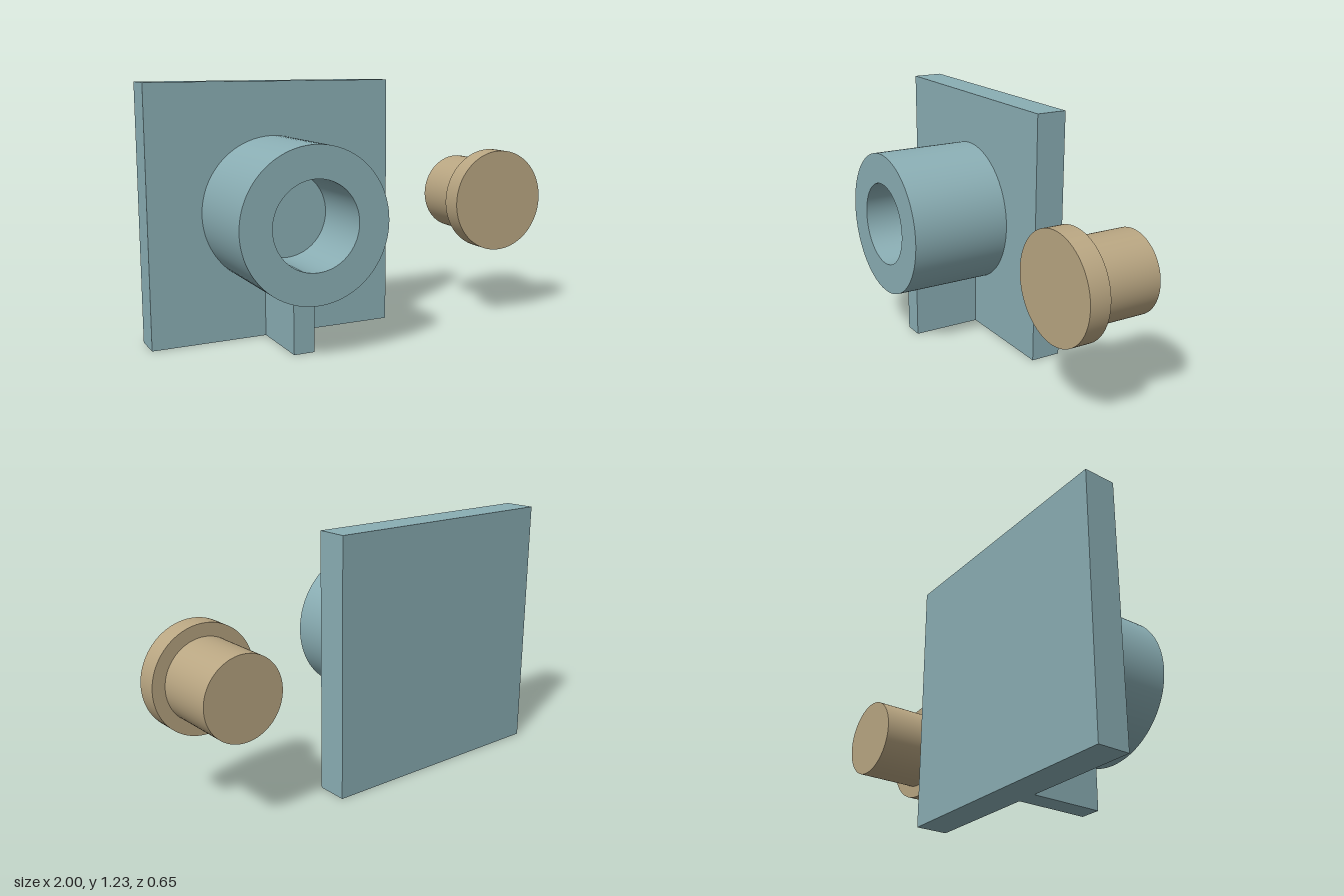
import * as THREE from 'three';
import { toCreasedNormals } from 'three/addons/utils/BufferGeometryUtils.js';

export function createModel() {
  const teal = new THREE.MeshStandardMaterial({ color: 0x8aaeb4 });
  teal.name = 'teal';
  const tan = new THREE.MeshStandardMaterial({ color: 0xb9a682 });
  tan.name = 'tan';

  const model = new THREE.Group();
  model.name = 'bracketAndPlug';
  const axisY = 0.617;

  const add = (parent, name, geometry, material) => {
    const mesh = new THREE.Mesh(geometry, material);
    mesh.name = name;
    parent.add(mesh);
    return mesh;
  };

  // Box given by its limits on each axis
  const box = (x0, x1, y0, y1, z0, z1) =>
    new THREE.BoxGeometry(x1 - x0, y1 - y0, z1 - z0)
      .translate((x0 + x1) / 2, (y0 + y1) / 2, (z0 + z1) / 2);

  // Turned part along z, from [radius, z] pairs, with crisp rims
  const turned = (profile) => {
    const points = profile.map(([r, z]) => new THREE.Vector2(r, z));
    return toCreasedNormals(new THREE.LatheGeometry(points, 96).rotateX(Math.PI / 2), 0.5);
  };

  // Bracket: back plate, bored boss and supporting rib
  const bracket = new THREE.Group();
  bracket.name = 'bracket';
  model.add(bracket);
  add(bracket, 'backPlate', box(-1, 0.226, 0, 1.231, -0.327, -0.174), teal);
  add(bracket, 'boss', turned([
    [0.357, -0.174], [0.357, 0.327], [0.207, 0.327], [0.207, -0.03], [0, -0.03],
  ]), teal).position.set(-0.387, axisY, 0);
  add(bracket, 'rib', box(-0.438, -0.336, 0, 0.265, -0.174, 0.176), teal);

  // Loose plug: narrow shank with a wider head in front
  add(model, 'plug', turned([
    [0, -0.327], [0.194, -0.327], [0.194, -0.02], [0.255, -0.02], [0.255, 0.082], [0, 0.082],
  ]), tan).position.set(0.745, axisY, 0);

  return model;
}
